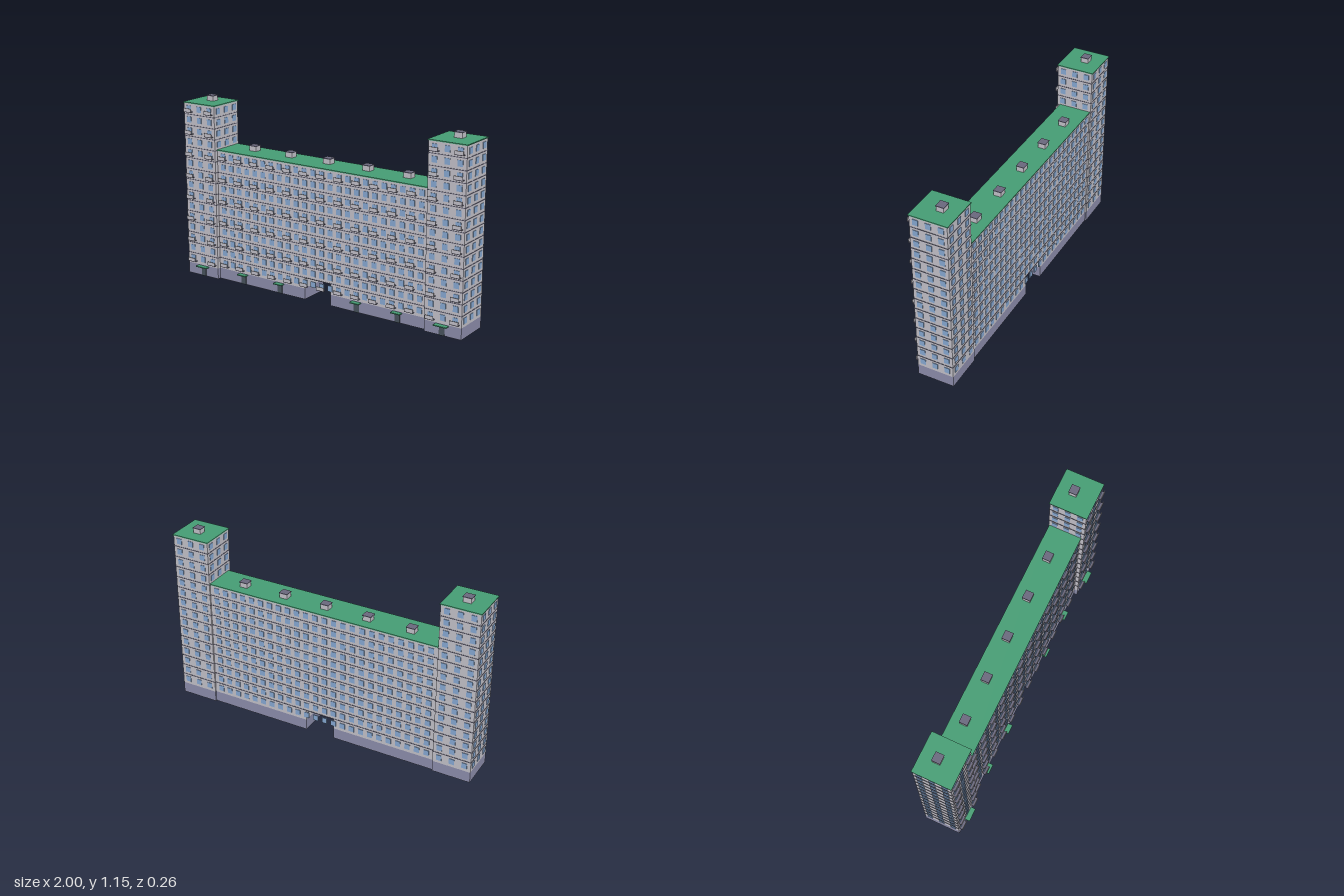
import * as THREE from 'three';
import { mergeGeometries } from 'three/addons/utils/BufferGeometryUtils.js';

const material = (name, color) => {
  const m = new THREE.MeshStandardMaterial({ color });
  m.name = name;
  return m;
};

const BASE = 0.07, FLOOR = 0.0696;   // plinth height, storey height
const GAP = 0.094;                   // half width of the passage

export function createModel() {
  const model = new THREE.Group();
  model.name = 'apartmentBlock';
  const mats = {
    wall: material('palePanel', 0xc3c1c9),
    base: material('plinthViolet', 0x8c8dab),
    trim: material('trimViolet', 0x69677c),
    glass: material('windowBlue', 0x86a8d2),
    roof: material('roofGreen', 0x459c73),
    door: material('doorDark', 0x47525c),
  };

  // Boxes are gathered by part and merged into one mesh each
  const parts = new Map();
  function box(part, mat, x0, x1, y0, y1, z0, z1) {
    const g = new THREE.BoxGeometry(x1 - x0, y1 - y0, z1 - z0);
    g.translate((x0 + x1) / 2, (y0 + y1) / 2, (z0 + z1) / 2);
    if (!parts.has(part)) parts.set(part, { mat, list: [] });
    parts.get(part).list.push(g);
  }

  // Thin pane on a wall; axis tells which way the wall faces
  function pane(axis, x, y, z) {
    const w = 0.017, h = 0.018, t = 0.003;
    const dx = axis === 'z' ? w : t, dz = axis === 'z' ? t : w;
    box('windows', mats.glass, x - dx, x + dx, y - h, y + h, z - dz, z + dz);
  }

  // Slab with a front panel
  function balcony(x, floorY, z) {
    box('balconySlabs', mats.trim, x - 0.028, x + 0.028, floorY + 0.015, floorY + 0.019, z, z + 0.02);
    box('balconyPanels', mats.wall, x - 0.028, x + 0.028, floorY + 0.019, floorY + 0.039, z + 0.017, z + 0.02);
  }

  function entrance(x, z, w) {
    box('doors', mats.door, x - 0.018, x + 0.018, 0, 0.06, z - 0.002, z + 0.003);
    box('canopies', mats.roof, x - w, x + w, 0.06, 0.066, z, z + 0.031);
  }

  function roofVent(x, y, z) {
    box('roofVents', mats.wall, x - 0.025, x + 0.025, y, y + 0.03, z - 0.023, z + 0.023);
    box('ventCaps', mats.trim, x - 0.028, x + 0.028, y + 0.03, y + 0.034, z - 0.026, z + 0.026);
  }

  // Bands between storeys
  function bands(x0, x1, z0, z1, floors) {
    for (let f = 1; f < floors; f++) {
      const y = BASE + f * FLOOR;
      box('storeyBands', mats.trim, x0 - 0.002, x1 + 0.002, y - 0.002, y + 0.002, z0 - 0.002, z1 + 0.002);
    }
  }

  // End towers
  const towerBack = -0.128, towerFront = 0.101, towerFloors = 15;
  const towerTop = BASE + towerFloors * FLOOR;
  const midZ = (towerBack + towerFront) / 2;
  for (const side of [-1, 1]) {
    const cx = side * 0.876, x0 = cx - 0.12, x1 = cx + 0.12;
    box('towerPlinths', mats.base, x0, x1, 0, BASE, towerBack, towerFront);
    box('towerWalls', mats.wall, x0, x1, BASE, towerTop, towerBack, towerFront);
    box('towerRoofs', mats.roof, x0 - 0.004, x1 + 0.004, towerTop, towerTop + 0.006, towerBack - 0.005, towerFront + 0.005);
    bands(x0, x1, towerBack, towerFront, towerFloors);
    for (let f = 0; f < towerFloors; f++) {
      const y0 = BASE + f * FLOOR, y = y0 + 0.037;
      for (const i of [-1, 0, 1]) {
        const x = cx + i * 0.08, z = midZ + i * 0.077;
        pane('z', x, y, towerFront);
        pane('z', x, y, towerBack);
        pane('x', cx + side * 0.12, y, z);
        if (f > 10) pane('x', cx - side * 0.12, y, z);
        if (i && f % 2 === 0) balcony(x, y0, towerFront);
      }
    }
    entrance(side * 0.872, towerFront, 0.042);
    roofVent(side * 0.878, towerTop + 0.006, -0.031);
  }

  // Long middle block, with a two-storey passage cut through
  const back = -0.119, front = 0.078, half = 0.757, floors = 11;
  const top = BASE + floors * FLOOR;
  for (const side of [-1, 1]) {
    const a = Math.min(side * GAP, side * half), b = Math.max(side * GAP, side * half);
    box('middlePlinths', mats.base, a, b, 0, BASE, back, front);
    box('middleLowerWalls', mats.wall, a, b, BASE, BASE + FLOOR, back, front);
    for (const x of [0.282, 0.564]) entrance(side * x, front, 0.031);
  }
  box('middleWall', mats.wall, -half, half, BASE + FLOOR, top, back, front);
  box('middleRoof', mats.roof, -half, half, top, top + 0.006, back - 0.005, front + 0.005);
  bands(-half, half, back, front, floors);
  for (let f = 0; f < floors; f++) {
    const y0 = BASE + f * FLOOR;
    for (let i = 0; i < 24; i++) {
      const x = -0.711 + i * 0.0618;
      pane('z', x, y0 + 0.037, front);
      pane('z', x, y0 + 0.037, back);
      if (f % 2 === 0 && i % 2 === 0) balcony(x, y0, front);
    }
  }
  for (let i = -2; i <= 2; i++) roofVent(i * 0.277, top + 0.006, -0.04);

  for (const [name, { mat, list }] of parts) {
    const mesh = new THREE.Mesh(mergeGeometries(list), mat);
    mesh.name = name;
    model.add(mesh);
  }
  return model;
}
